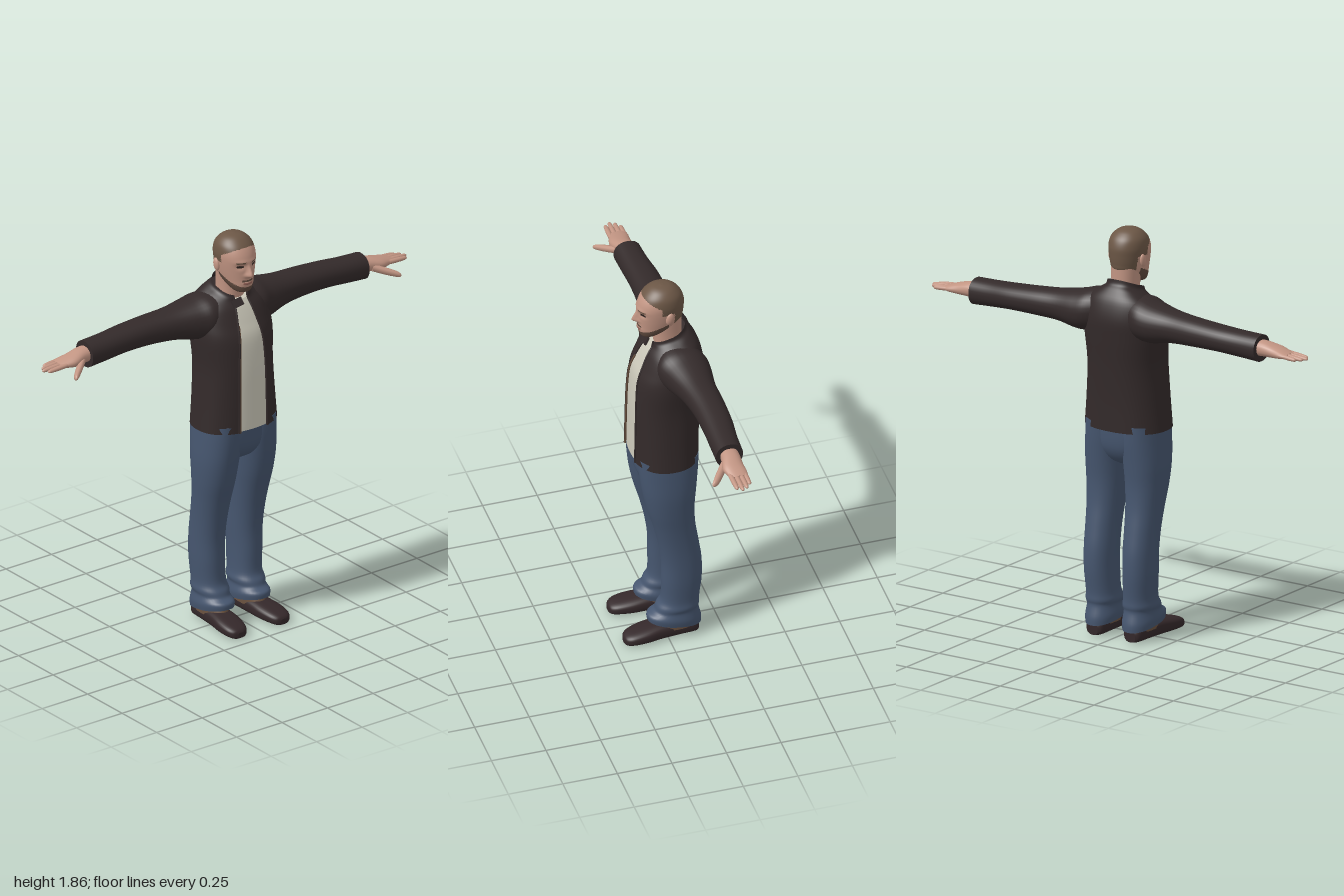
import * as THREE from 'three';

const mat = (name, color, side = THREE.FrontSide) => {
  const m = new THREE.MeshStandardMaterial({ color, side });
  m.name = name;
  return m;
};

// Smooth interpolation between cross-section rows
function smoothRows(rows, sub) {
  const out = [], last = rows.length - 1;
  const at = (i, k) => rows[Math.min(last, Math.max(0, i))][k] ?? 0;
  for (let i = 0; i < last; i++) {
    for (let s = 0; s < sub; s++) {
      const t = s / sub, r = [];
      for (let k = 0; k < 7; k++) {
        const a = at(i - 1, k), b = at(i, k), c = at(i + 1, k), d = at(i + 2, k);
        r.push(b + 0.5 * t * (c - a + t * (2 * a - 5 * b + 4 * c - d + t * (3 * (b - c) + d - a))));
      }
      out.push(r);
    }
  }
  out.push([0, 1, 2, 3, 4, 5, 6].map(k => at(last, k)));
  return out;
}

// Maps section coordinates (t along the axis, u and v across it) to space
const AXES = {
  x: (t, u, v) => [t, v, u],
  y: (t, u, v) => [u, t, v],
  z: (t, u, v) => [u, -v, t],
};

// Loft rows of [t, centreU, centreV, radiusU, radiusV, tilt, halfOpening], with t rising.
// An open loft leaves a slit of that half width on its +v side.
function loft(rows, { axis = 'y', seg = 32, sub = 5, n = 2.2, open = false } = {}) {
  const pos = [], index = [], rings = smoothRows(rows, sub), count = open ? seg + 1 : seg;
  const ring = ([t, cu, cv, ru, rv, tilt, w]) => {
    const gap = open ? Math.asin(Math.min(1, (w / ru) ** (n / 2))) : 0;
    for (let j = 0; j < count; j++) {
      const a = Math.PI / 2 + gap + (j / seg) * (2 * Math.PI - 2 * gap);
      const c = Math.cos(a), s = Math.sin(a);
      const u = cu + ru * Math.sign(c) * Math.abs(c) ** (2 / n);
      const v = cv + rv * Math.sign(s) * Math.abs(s) ** (2 / n);
      pos.push(...AXES[axis](t + tilt * s, u, v));
    }
  };
  rings.forEach(ring);
  for (let i = 0; i < rings.length - 1; i++) {
    for (let j = 0; j < seg; j++) {
      const a = i * count + j, b = i * count + (j + 1) % count, c = a + count, d = b + count;
      index.push(a, c, b, b, c, d);
    }
  }
  if (!open) {
    for (const end of [0, 1]) {
      const r = rings[end ? rings.length - 1 : 0], start = pos.length / 3;
      ring(r);
      pos.push(...AXES[axis](r[0], r[1], r[2]));
      for (let j = 0; j < seg; j++) {
        const a = start + j, b = start + (j + 1) % seg;
        index.push(...(end ? [a, start + seg, b] : [a, b, start + seg]));
      }
    }
  }
  const g = new THREE.BufferGeometry();
  g.setAttribute('position', new THREE.Float32BufferAttribute(pos, 3));
  g.setIndex(index);
  g.computeVertexNormals();
  return g;
}

// Sort faces into material groups by the position of their centre
function paint(g, count, pick) {
  const p = g.attributes.position, idx = g.index.array, lists = Array.from({ length: count }, () => []);
  for (let i = 0; i < idx.length; i += 3) {
    const f = [idx[i], idx[i + 1], idx[i + 2]];
    const mid = get => f.reduce((sum, k) => sum + p[get](k), 0) / 3;
    lists[pick(mid('getX'), mid('getY'), mid('getZ'))].push(...f);
  }
  g.setIndex(lists.flat());
  let start = 0;
  lists.forEach((l, m) => { g.addGroup(start, l.length, m); start += l.length; });
}

function mirrored(g) {
  const m = g.clone().scale(-1, 1, 1), a = m.index.array;
  for (let i = 0; i < a.length; i += 3) [a[i], a[i + 1]] = [a[i + 1], a[i]];
  return m;
}

export function createModel() {
  const model = new THREE.Group();
  model.name = 'man';
  const skin = mat('skin', 0xc29583), hair = mat('hair', 0x6c5746), beard = mat('beard', 0x5f4a3e);
  const eye = mat('eye', 0x2a201d), lips = mat('lips', 0x99675c);
  const jacket = mat('jacket', 0x332a2a, THREE.DoubleSide), shirt = mat('shirt', 0xcdcabb);
  const denim = mat('denim', 0x46566f), shoe = mat('shoe', 0x34282a), leather = mat('leather', 0x674f3d);

  const add = (name, g, material) => {
    const m = new THREE.Mesh(g, material);
    m.name = name;
    model.add(m);
    return m;
  };
  const pair = (name, g, material) => {
    add('left ' + name, g, material);
    add('right ' + name, mirrored(g), material);
  };

  // Head, with nose, brow and eye sockets pushed out of the face
  const head = loft([
    [1.597, 0, .052, .02, .02], [1.608, 0, .044, .042, .044, -.004], [1.635, 0, .018, .06, .077, -.012],
    [1.665, 0, 0, .07, .097, -.01], [1.7, 0, -.003, .078, .102, -.003], [1.74, 0, -.004, .084, .105],
    [1.775, 0, -.007, .086, .102], [1.81, 0, -.01, .079, .087], [1.835, 0, -.011, .06, .063],
    [1.849, 0, -.011, .036, .038], [1.855, 0, -.011, .006, .006],
  ], { seg: 120, sub: 10, n: 2.08 });
  const p = head.attributes.position, bell = (d, w) => Math.exp(-((d / w) ** 2));
  for (let i = 0; i < p.count; i++) {
    const x = Math.abs(p.getX(i)), y = p.getY(i), z = p.getZ(i);
    if (z < .03) continue;
    const nose = .028 * bell(x, .009 + .006 * bell(y - 1.685, .015)) * bell(y - 1.689, y > 1.689 ? .035 : .012);
    const socket = -.008 * bell(x - .035, .018) * bell(y - 1.729, .013);
    const brow = .004 * bell(x - .03, .03) * bell(y - 1.75, .01);
    const mouth = .006 * bell(x, .025) * bell(y - 1.647, .01);
    p.setZ(i, z + nose + socket + brow + mouth);
  }
  head.computeVertexNormals();
  paint(head, 5, (x, y, z) => {
    const ax = Math.abs(x);
    if (y > (z > .01 ? 1.768 + .55 * z : z > -.05 ? 1.738 : 1.675)) return 1;
    if (z > .04 && Math.abs(ax - .036) < .014 && Math.abs(y - 1.729) < .005) return 3;
    if (z > .04 && Math.abs(ax - .036) < .019 && Math.abs(y - 1.748) < .003) return 1;
    if (z > .06 && ax < .024 && Math.abs(y - 1.646) < .005) return 4;
    if (z > .05 && ax < .028 && y > 1.656 && y < 1.662) return 2;
    return z > -.025 && y < 1.671 - .45 * z ? 2 : 0;
  });
  add('head', head, [skin, hair, beard, eye, lips]);
  add('neck', loft([[1.48, 0, -.04, .06, .064], [1.6, 0, -.036, .06, .064], [1.69, 0, -.03, .066, .07]]), skin);
  pair('ear', new THREE.SphereGeometry(1, 16, 12).scale(.011, .03, .018).rotateX(-.2).translate(.084, 1.718, -.024), skin);

  // Open jacket over a shirt front, sharing one body profile
  const body = [
    [.955, 0, -.012, .2, .153, 0, .076], [1.1, 0, -.014, .187, .153, 0, .075], [1.25, 0, -.019, .178, .155, 0, .072],
    [1.38, 0, -.03, .187, .154, 0, .064], [1.46, 0, -.045, .185, .142, -.008, .054], [1.53, 0, -.05, .168, .118, -.018, .044],
    [1.57, 0, -.045, .115, .092, -.025, .038], [1.588, 0, -.036, .084, .082, -.028, .036], [1.606, 0, -.034, .077, .079, -.032, .038],
  ];
  add('jacket body', loft(body, { seg: 64, open: true, n: 2.3 }), jacket);
  const shirtRows = body.slice(0, 7).map(([y, x, z, rx, rz, tilt]) => [y + .004, x, z, rx - .007, rz - .006, tilt]);
  const shirtFront = loft(shirtRows, { seg: 48, n: 2.3 });
  paint(shirtFront, 2, (x, y, z) => (z < 0 || y < .9592 ? 1 : 0));
  add('shirt and lining', shirtFront, [shirt, jacket]);

  // Raised edges along the opening, a zip and a turned collar flap
  const edgeTube = (rows, side, inset, radius) => new THREE.TubeGeometry(new THREE.CatmullRomCurve3(
    smoothRows(rows, 2).map(([y, , cz, rx, rz, tilt, w]) => new THREE.Vector3(
      side * (w - inset), y + tilt, cz + rz * (1 - (w / rx) ** 2.3) ** (1 / 2.3)))), 40, radius, 6);
  add('left jacket edge', edgeTube(body, 1, 0, .005), jacket);
  add('right jacket edge', edgeTube(body, -1, 0, .005), jacket);
  add('zip', edgeTube(body.slice(0, 5), -1, .005, .0045), leather);
  const flap = add('collar flap', new THREE.BoxGeometry(.05, .036, .01), jacket);
  flap.position.set(-.026, 1.542, .052);
  flap.rotation.set(-.5, -.25, .15);

  // Sleeves, blending into the shoulders
  pair('sleeve', loft([
    [.085, -.06, 1.482, .1, .092], [.14, -.066, 1.474, .115, .096], [.2, -.077, 1.466, .104, .089],
    [.3, -.086, 1.467, .082, .071], [.42, -.096, 1.466, .073, .063],
    [.55, -.097, 1.462, .069, .058], [.66, -.091, 1.455, .064, .058], [.76, -.088, 1.45, .062, .06],
  ], { axis: 'x' }), jacket);

  // Hands: palm, four fingers and a thumb
  pair('palm', loft([
    [.72, -.088, 1.452, .04, .037], [.785, -.086, 1.452, .043, .034], [.84, -.08, 1.446, .048, .027],
    [.88, -.086, 1.443, .045, .019], [.912, -.09, 1.441, .037, .011],
  ], { axis: 'x', seg: 24 }), skin);
  const digit = (name, [x0, y0, z0], [x1, y1, z1], r) => {
    const row = (t, k) => [x0 + (x1 - x0) * t, z0 + (z1 - z0) * t, y0 + (y1 - y0) * t, r * k, r * k * .9];
    pair(name, loft([row(0, 1), row(.5, 1), row(.85, .82), row(.96, .55), row(1, .12)], { axis: 'x', seg: 12, sub: 3, n: 2 }), skin);
  };
  [['little finger', -.119, .965], ['ring finger', -.1, .988], ['middle finger', -.078, 1], ['index finger', -.056, .985]]
    .forEach(([name, z, tip]) => digit(name, [.885, 1.443, z + .003], [tip, 1.437, z], .0115));
  digit('thumb', [.79, 1.443, -.06], [.895, 1.406, .022], .02);

  // Jeans: a seat between two legs with sloping hems
  add('jeans seat', loft([
    [.785, 0, -.014, .06, .05], [.81, 0, -.014, .1, .09], [.85, 0, -.013, .14, .118],
    [.9, 0, -.013, .165, .13], [.985, 0, -.013, .18, .134],
  ], { seg: 48, n: 2.5 }), denim);
  pair('trouser leg', loft([
    [.07, .098, -.037, .074, .122, .022], [.1, .098, -.037, .077, .121, .018], [.135, .098, -.046, .07, .1],
    [.16, .098, -.054, .075, .096], [.2, .099, -.064, .069, .086], [.3, .103, -.07, .07, .09], [.4, .103, -.069, .071, .09],
    [.5, .103, -.055, .073, .09], [.6, .103, -.036, .079, .094], [.7, .103, -.02, .088, .106], [.8, .101, -.014, .095, .12],
    [.9, .094, -.013, .098, .131], [.985, .092, -.013, .094, .136],
  ], { seg: 36 }), denim);

  // Shoes with a leather upper under the hem
  pair('shoe', loft([
    [-.145, .1, .028, .026, .026], [-.125, .1, .034, .045, .034], [-.05, .102, .036, .05, .036], [.03, .106, .037, .055, .037],
    [.1, .112, .033, .06, .033], [.16, .117, .027, .053, .027], [.19, .118, .021, .037, .021], [.2, .118, .018, .016, .012],
  ].map(([z, x, y, rx, ry]) => [z, x, -y, rx, ry]), { axis: 'z', n: 2.8 }), shoe);
  pair('shoe upper', loft([[.045, .102, -.035, .053, .104], [.075, .102, -.036, .05, .098], [.13, .1, -.05, .045, .075]]), leather);

  return model;
}
